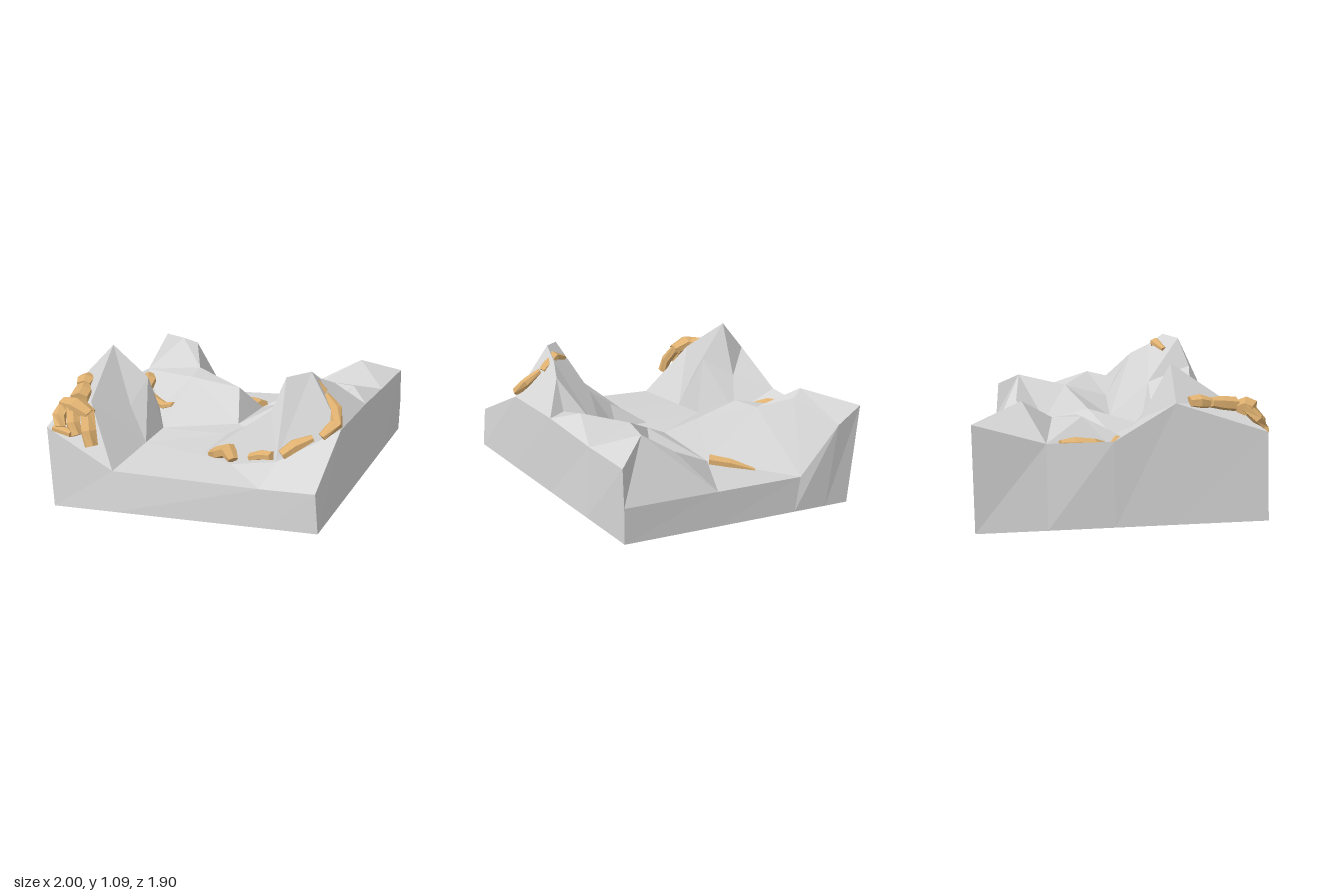
import * as THREE from 'three';

const stone = new THREE.MeshStandardMaterial({ color: 0xd6d6d6 });
stone.name = 'grey stone';
const clay = new THREE.MeshStandardMaterial({ color: 0xdeb070 });
clay.name = 'tan clay';

// Rim of the terrain: back, right, front and left edges, [x, y, z]
const rim = [
  [[-1, 0.69, -0.85], [-0.79, 0.6, -0.88], [-0.5, 0.29, -0.86], [0.2, 0.37, -0.905]],
  [[0.9, 0.45, -0.95], [0.895, 0.69, -0.93], [0.89, 0.69, -0.53], [0.93, 0.75, -0.1], [0.945, 0.76, 0.38]],
  [[0.975, 0.54, 0.84], [0.62, 0.5, 0.858], [-0.4, 0.405, 0.9]],
  [[-0.87, 0.63, 0.93], [-0.92, 0.81, 0.37], [-0.94, 0.58, 0], [-0.915, 0.56, -0.41]],
];
// Tilted underside: back left, back right, front right, front left
const base = [[-0.93, 0, -0.85], [0.9, 0.22, -0.95], [1, 0.28, 0.84], [-0.84, 0.07, 0.95]];

// Summits, ridges and valley points inside the rim
const backLeftHill = [[-0.7, 0.79, -0.58], [-0.61, 0.75, -0.63], [-0.47, 0.65, -0.41], [-0.43, 0.65, -0.22], [-0.08, 0.61, -0.28]];
const valley = [[0, 0.39, -0.5], [0.018, 0.42, -0.27], [0.035, 0.45, -0.035], [0.52, 0.5, -0.06], [-0.585, 0.46, -0.01],
  [-0.42, 0.43, 0.22], [-0.415, 0.42, 0.46], [0.3, 0.48, 0.6], [0.64, 0.6, 0.66], [0.3, 0.48, 0.17]];
const leftSpires = [[-0.69, 0.68, 0.16], [-0.72, 1.03, 0.34], [-0.54, 0.66, 0.44], [-0.5, 0.81, 0.27], [-0.66, 0.77, 0.72]];
const backRightHill = [[0.28, 0.59, -0.21], [0.52, 0.73, -0.39], [0.79, 0.8, -0.24], [0.61, 0.64, -0.09],
  [0.45, 0.48, -0.54], [0.415, 0.63, -0.74], [0.655, 0.79, -0.745]];
const rightPeak = [[0.05, 0.46, 0.17], [0.05, 0.46, 0.53], [0.3, 0.67, 0.525], [0.3, 0.63, 0.24], [0.47, 0.76, 0.22],
  [0.54, 0.87, 0.52], [0.6, 1.07, 0.44], [0.72, 1.09, 0.33], [0.73, 1.01, 0.22], [0.78, 0.94, 0.09], [0.8, 0.75, -0.03]];

// Unindexed triangles give crisp flat facets
function facetMesh(name, corners, material) {
  const g = new THREE.BufferGeometry();
  g.setAttribute('position', new THREE.Float32BufferAttribute(corners.flat(), 3));
  g.computeVertexNormals();
  const mesh = new THREE.Mesh(g, material);
  mesh.name = name;
  return mesh;
}

// Delaunay triangulation in plan (x, z)
function triangulate(points) {
  const pts = [...points, [-60, 0, -50], [70, 0, -45], [3, 0, 80]];
  const n = points.length;
  const circle = (a, b, c) => {
    const [ax, , az] = pts[a], [bx, , bz] = pts[b], [cx, , cz] = pts[c];
    const d = 2 * (ax * (bz - cz) + bx * (cz - az) + cx * (az - bz));
    const A = ax * ax + az * az, B = bx * bx + bz * bz, C = cx * cx + cz * cz;
    const x = (A * (bz - cz) + B * (cz - az) + C * (az - bz)) / d;
    const z = (A * (cx - bx) + B * (ax - cx) + C * (bx - ax)) / d;
    return { v: [a, b, c], x, z, r: (ax - x) ** 2 + (az - z) ** 2 };
  };
  let tris = [circle(n, n + 1, n + 2)];
  for (let i = 0; i < n; i++) {
    const edges = new Map();
    tris = tris.filter((t) => {
      if ((pts[i][0] - t.x) ** 2 + (pts[i][2] - t.z) ** 2 >= t.r) return true;
      for (let k = 0; k < 3; k++) {
        const a = t.v[k], b = t.v[(k + 1) % 3];
        const key = Math.min(a, b) + '_' + Math.max(a, b);
        if (edges.has(key)) edges.delete(key);
        else edges.set(key, [a, b]);
      }
      return false;
    });
    for (const [a, b] of edges.values()) tris.push(circle(a, b, i));
  }
  return tris.map((t) => t.v).filter((v) => v.every((i) => i < n));
}

function insideRim(x, z, loop) {
  let inside = false;
  loop.forEach((p, i) => {
    const q = loop[(i + 1) % loop.length];
    if ((p[2] > z) !== (q[2] > z) && x < p[0] + ((z - p[2]) / (q[2] - p[2])) * (q[0] - p[0])) inside = !inside;
  });
  return inside;
}

function makeTerrain() {
  const loop = rim.flat();
  const points = [...loop, ...backLeftHill, ...valley, ...leftSpires, ...backRightHill, ...rightPeak];
  const corners = [];
  for (const v of triangulate(points)) {
    const [a, b, c] = v.map((i) => points[i]);
    if (!insideRim((a[0] + b[0] + c[0]) / 3, (a[2] + b[2] + c[2]) / 3, loop)) continue;
    const up = (b[2] - a[2]) * (c[0] - a[0]) - (b[0] - a[0]) * (c[2] - a[2]) > 0;
    corners.push(a, ...(up ? [b, c] : [c, b]));
  }
  return facetMesh('rockyTerrain', corners, stone);
}

// Side walls drop from the rim to the tilted underside
function makeBase() {
  const top = rim.flat();
  const low = rim.flatMap((side, s) => {
    const a = side[0], b = rim[(s + 1) % 4][0], axis = s % 2 ? 2 : 0;
    return side.map((p) => {
      const t = (p[axis] - a[axis]) / (b[axis] - a[axis]);
      return base[s].map((v, k) => v + (base[(s + 1) % 4][k] - v) * t);
    });
  });
  const corners = [];
  top.forEach((p, i) => {
    const j = (i + 1) % top.length;
    corners.push(p, top[j], low[j], p, low[j], low[i]);
  });
  const [a, b, c, d] = base;
  corners.push(a, b, c, a, c, d);
  return facetMesh('baseBlock', corners, stone);
}

// Faceted clay lump swept along a few stations [x, y, z, radius], resting on the terrain
function clayPiece(name, stations, terrain, sides = 6) {
  const down = new THREE.Vector3(0, -1, 0), up = new THREE.Vector3(0, 1, 0);
  const centres = stations.map(([x, y, z]) => {
    const hit = new THREE.Raycaster(new THREE.Vector3(x, 3, z), down).intersectObject(terrain)[0];
    const ground = hit ? hit.point.y : y;
    return new THREE.Vector3(x, Math.max(y, Math.min(ground, y + 0.1)), z);
  });
  const last = centres.length - 1;
  const rings = centres.map((c, i) => {
    const t = centres[Math.min(i + 1, last)].clone().sub(centres[Math.max(i - 1, 0)]).normalize();
    const s = t.clone().cross(up).normalize(), n = s.clone().cross(t);
    return Array.from({ length: sides }, (_, k) => {
      const a = ((k + 0.5) / sides) * Math.PI * 2, r = stations[i][3];
      return c.clone().addScaledVector(s, r * Math.cos(a)).addScaledVector(n, r * 0.7 * Math.sin(a)).toArray();
    });
  });
  const corners = [];
  for (let k = 0; k < sides; k++) {
    const m = (k + 1) % sides;
    for (let i = 0; i < last; i++) {
      const a = rings[i], b = rings[i + 1];
      corners.push(a[k], b[k], b[m], a[k], b[m], a[m]);
    }
    corners.push(centres[0].toArray(), rings[0][k], rings[0][m]);
    corners.push(centres[last].toArray(), rings[last][m], rings[last][k]);
  }
  return facetMesh(name, corners, clay);
}

export function createModel() {
  const model = new THREE.Group();
  model.name = 'rockyLandscape';
  const terrain = makeTerrain();
  model.add(terrain, makeBase());

  const trails = {
    // trail curling up the right peak
    rightTrail: [
      [[0.13, 0.5, 0.55, 0.03], [0.2, 0.53, 0.57, 0.06], [0.28, 0.57, 0.59, 0.065], [0.33, 0.53, 0.63, 0.035]],
      [[0.45, 0.58, 0.63, 0.035], [0.53, 0.61, 0.63, 0.045], [0.61, 0.63, 0.65, 0.04]],
      [[0.66, 0.64, 0.63, 0.045], [0.72, 0.69, 0.57, 0.055], [0.81, 0.73, 0.5, 0.03]],
      [[0.85, 0.73, 0.46, 0.035], [0.91, 0.79, 0.38, 0.05], [0.88, 0.87, 0.32, 0.045], [0.8, 0.91, 0.29, 0.025]],
      [[0.6, 0.95, 0.34, 0.025], [0.7, 0.97, 0.28, 0.045], [0.79, 0.92, 0.27, 0.03]],
    ],
    // lone tail on the back slope
    backTail: [[[-0.25, 0.33, -0.69, 0.015], [-0.12, 0.38, -0.59, 0.045], [-0.01, 0.4, -0.51, 0.055]]],
    // trail down the gap in the left ridge
    leftTrail: [
      [[-0.86, 0.55, -0.33, 0.035], [-0.82, 0.54, -0.25, 0.065], [-0.79, 0.52, -0.13, 0.065], [-0.72, 0.51, -0.07, 0.045]],
      [[-0.74, 0.51, -0.09, 0.045], [-0.62, 0.48, -0.05, 0.04], [-0.54, 0.45, -0.01, 0.035], [-0.46, 0.43, 0.01, 0.025]],
    ],
    // lumps and hanging strips on the front left corner
    frontLeftLumps: [
      [[-0.86, 0.81, 0.45, 0.05], [-0.84, 0.81, 0.51, 0.065], [-0.82, 0.8, 0.57, 0.05]],
      [[-0.81, 0.8, 0.58, 0.045], [-0.77, 0.79, 0.65, 0.065], [-0.74, 0.78, 0.74, 0.065]],
      [[-0.82, 0.76, 0.79, 0.055], [-0.71, 0.77, 0.81, 0.075], [-0.6, 0.73, 0.82, 0.05]],
      [[-0.79, 0.77, 0.8, 0.05], [-0.81, 0.7, 0.87, 0.05], [-0.78, 0.64, 0.91, 0.04]],
      [[-0.72, 0.76, 0.83, 0.05], [-0.69, 0.68, 0.89, 0.05], [-0.65, 0.61, 0.91, 0.04]],
      [[-0.63, 0.75, 0.81, 0.05], [-0.58, 0.64, 0.88, 0.055], [-0.55, 0.55, 0.9, 0.045]],
      [[-0.82, 0.63, 0.91, 0.035], [-0.68, 0.62, 0.92, 0.035]],
    ],
  };
  for (const [name, pieces] of Object.entries(trails)) {
    const group = new THREE.Group();
    group.name = name;
    pieces.forEach((p, i) => group.add(clayPiece(name + 'Piece' + (i + 1), p, terrain)));
    model.add(group);
  }
  return model;
}
